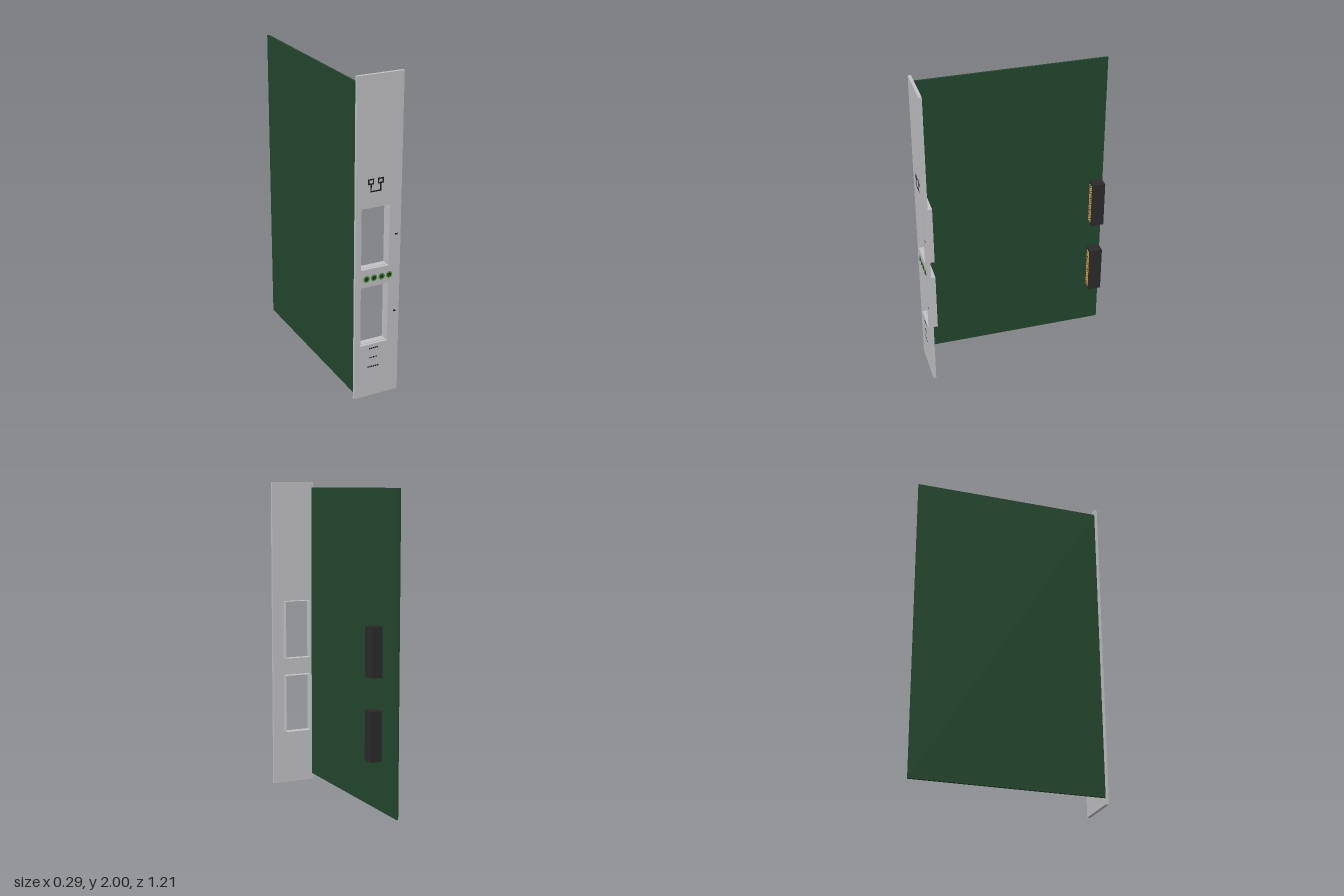
import * as THREE from 'three';

const mat = (name, color) => {
  const m = new THREE.MeshStandardMaterial({ color });
  m.name = name;
  return m;
};

export function createModel() {
  const model = new THREE.Group();
  model.name = 'plugInCard';
  const metal = mat('panel grey', 0xc3c3c7);
  const green = mat('board green', 0x22472d);
  const black = mat('connector black', 0x2b2b2b);
  const gold = mat('contact gold', 0xc9a040);
  const ink = mat('marking ink', 0x1c1c1e);
  const ringGreen = mat('indicator ring green', 0x4f9a3c);
  const lens = mat('indicator lens green', 0x1d3f22);

  // Box given by its limits on each axis
  const box = (name, material, x0, x1, y0, y1, z0, z1, parent = model) => {
    const mesh = new THREE.Mesh(new THREE.BoxGeometry(x1 - x0, y1 - y0, z1 - z0), material);
    mesh.position.set((x0 + x1) / 2, (y0 + y1) / 2, (z0 + z1) / 2);
    mesh.name = name;
    parent.add(mesh);
    return mesh;
  };
  const group = (name) => {
    const g = new THREE.Group();
    g.name = name;
    model.add(g);
    return g;
  };
  const rect = (P, x0, x1, y0, y1) => new P([[x0, y0], [x1, y0], [x1, y1], [x0, y1]]
    .map(([x, y]) => new THREE.Vector2(x, y)));

  const back = 0.579, front = 0.598;
  const bays = [[0.845, 1.225], [0.35, 0.732]];
  const bayL = -0.11, bayR = 0.07;

  // Front panel with two rectangular openings
  const shape = rect(THREE.Shape, -0.147, 0.145, 0, 2);
  for (const [y0, y1] of bays) shape.holes.push(rect(THREE.Path, bayL, bayR, y0, y1));
  const panel = new THREE.Mesh(
    new THREE.ExtrudeGeometry(shape, { depth: front - back, bevelEnabled: false }), metal);
  panel.position.z = back;
  panel.name = 'frontPanel';
  model.add(panel);

  // Thin sleeves behind the openings
  bays.forEach(([y0, y1], i) => {
    const g = group('openingSleeve' + (i + 1)), t = 0.002, z0 = 0.538;
    box('sleeveSide', metal, bayL, bayL + t, y0, y1, z0, back, g);
    box('sleeveSide', metal, bayR - t, bayR, y0, y1, z0, back, g);
    box('sleeveBottom', metal, bayL + t, bayR - t, y0, y0 + t, z0, back, g);
    box('sleeveTop', metal, bayL + t, bayR - t, y1 - t, y1, z0, back, g);
  });

  // Circuit board
  box('circuitBoard', green, -0.147, -0.134, 0.04, 1.965, -0.605, back);

  // Rear connectors with two columns of contacts
  [[0.885, 1.182], [0.39, 0.69]].forEach(([y0, y1], i) => {
    const g = group('rearConnector' + (i + 1));
    box('connectorBody', black, -0.055, 0.016, y0, y1, -0.567, -0.489, g);
    const rows = 20, pitch = (y1 - y0 - 0.04) / (rows - 1);
    for (const x of [-0.032, -0.009]) {
      for (let r = 0; r < rows; r++) {
        const y = y0 + 0.02 + r * pitch;
        box('contact', gold, x - 0.003, x + 0.003, y - 0.004, y + 0.004, -0.489, -0.483, g);
      }
    }
  });

  // Row of indicator lights
  const lights = group('indicatorLights');
  const disc = (name, material, r, depth, x) => {
    const m = new THREE.Mesh(new THREE.CylinderGeometry(r, r, depth, 24), material);
    m.rotation.x = Math.PI / 2;
    m.position.set(x, 0.784, front + depth / 2);
    m.name = name;
    lights.add(m);
  };
  for (const x of [-0.074, -0.025, 0.025, 0.075]) {
    disc('indicatorRing', ringGreen, 0.021, 0.001, x);
    disc('indicatorRecess', ink, 0.012, 0.002, x);
    disc('indicatorLens', lens, 0.008, 0.006, x);
  }

  // Painted linked-boxes symbol
  const symbol = group('portSymbol');
  const mark = (x0, x1, y0, y1, g = symbol) =>
    box('paintedMark', ink, x0, x1, y0, y1, front, front + 0.001, g);
  const w = 0.008;
  for (const [x0, x1] of [[-0.072, -0.034], [-0.01, 0.028]]) {
    mark(x0, x1, 1.392, 1.4);
    mark(x0, x1, 1.366, 1.374);
    mark(x0, x0 + w, 1.374, 1.392);
    mark(x1 - w, x1, 1.374, 1.392);
    const mid = (x0 + x1) / 2;
    mark(mid - w / 2, mid + w / 2, 1.328, 1.366);
  }
  mark(-0.057, 0.013, 1.32, 1.328);

  // Small plain dashes beside and below the openings
  const dashes = group('panelDashes');
  for (const y of [1.035, 0.54]) mark(0.107, 0.123, y - 0.005, y + 0.005, dashes);
  [[0.322, 0.062], [0.26, 0.052], [0.198, 0.078]].forEach(([y, width]) => {
    const step = width / 5;
    for (let i = 0; i < 5; i++) {
      const x = -0.021 - width / 2 + i * step;
      mark(x + 0.002, x + step - 0.002, y - 0.004, y + 0.004, dashes);
    }
  });

  return model;
}
